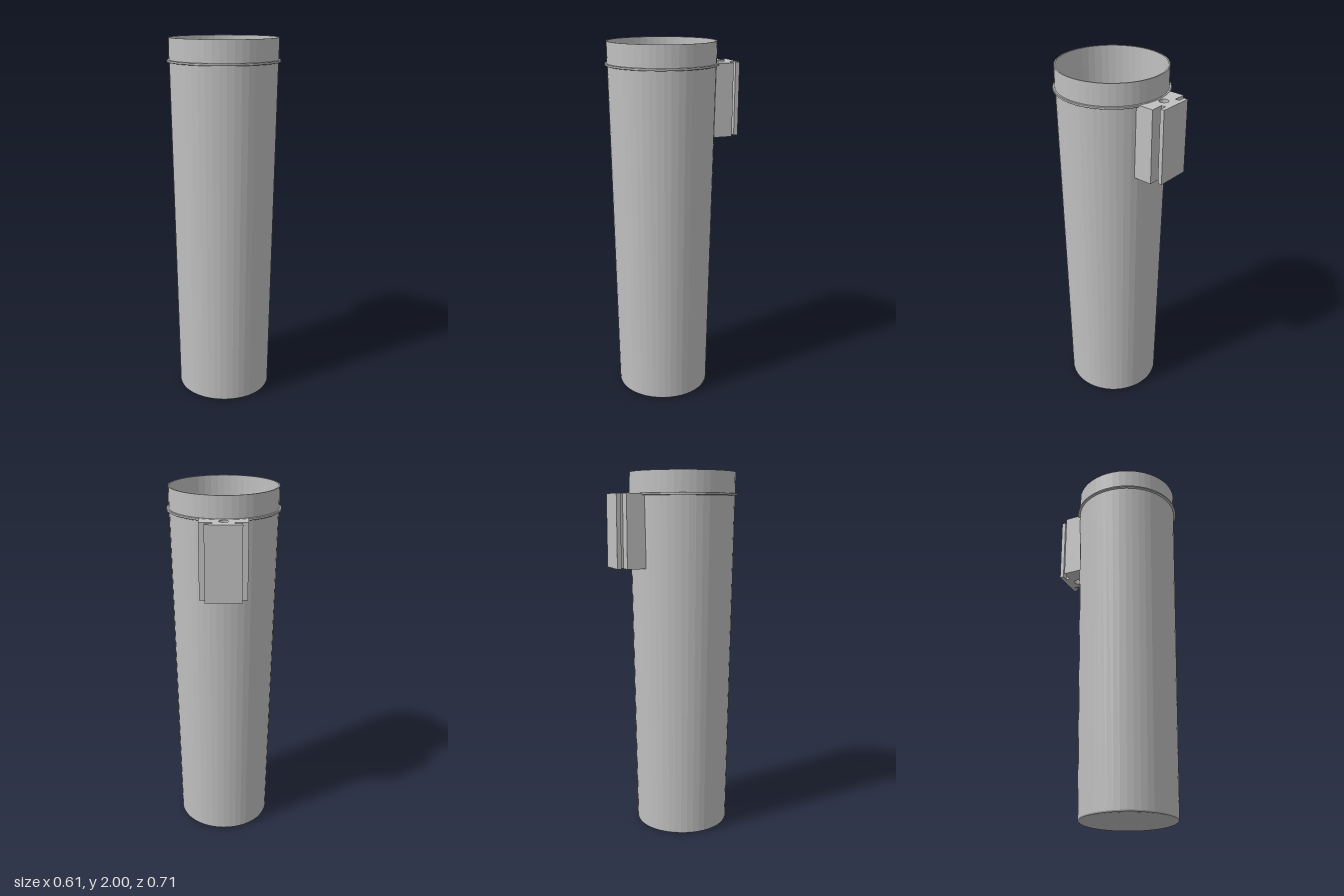
import * as THREE from 'three';

const CUP_Z = 0.049; // tube axis sits forward of centre to balance the bracket
const SIDES = 48;

const grey = new THREE.MeshStandardMaterial({ color: 0xc0c0c0, flatShading: true });
grey.name = 'plain grey';

function lathe(name, profile) {
  const points = profile.map(([r, y]) => new THREE.Vector2(r, y));
  const mesh = new THREE.Mesh(new THREE.LatheGeometry(points, SIDES), grey);
  mesh.name = name;
  mesh.position.z = CUP_Z;
  return mesh;
}

// Open tapered tube: outside going up, over the rim, inside going down to the floor
function makeTube() {
  return lathe('tube', [
    [0, 0], [0.252, 0], [0.258, 0.003], [0.261, 0.01],
    [0.29, 1.878], [0.292, 1.884], [0.292, 2],
    [0.285, 2], [0.283, 1.88], [0.254, 0.012], [0, 0.012],
  ]);
}

// Thin rounded ring below the rim
function makeCollar() {
  return lathe('collar', [
    [0.286, 1.874], [0.3, 1.874], [0.303, 1.876], [0.304, 1.88],
    [0.303, 1.884], [0.3, 1.886], [0.286, 1.886],
  ]);
}

// T-rail bracket with a vertical hole, its inner edge following the tube wall
function makeBracket() {
  const radius = 0.283, half = 0.123;
  const a = Math.acos(half / radius);
  const shape = new THREE.Shape();
  shape.absarc(0, -CUP_Z, radius, Math.PI - a, a, true);
  const side = [[half, 0.311], [0.054, 0.311], [0.054, 0.334], [0.094, 0.334], [0.094, 0.357]];
  side.forEach(([x, y]) => shape.lineTo(x, y));
  [...side].reverse().forEach(([x, y]) => shape.lineTo(-x, y));
  shape.closePath();

  const hole = new THREE.Path();
  hole.absarc(0, 0.283, 0.024, 0, Math.PI * 2, false);
  shape.holes.push(hole);

  const geometry = new THREE.ExtrudeGeometry(shape, { depth: 0.395, bevelEnabled: false, curveSegments: 16 });
  geometry.rotateX(-Math.PI / 2); // shape +y becomes the back
  const mesh = new THREE.Mesh(geometry, grey);
  mesh.name = 'mountingBracket';
  mesh.position.y = 1.49;
  return mesh;
}

export function createModel() {
  const group = new THREE.Group();
  group.name = 'tubeHolder';
  group.add(makeTube(), makeCollar(), makeBracket());
  return group;
}
